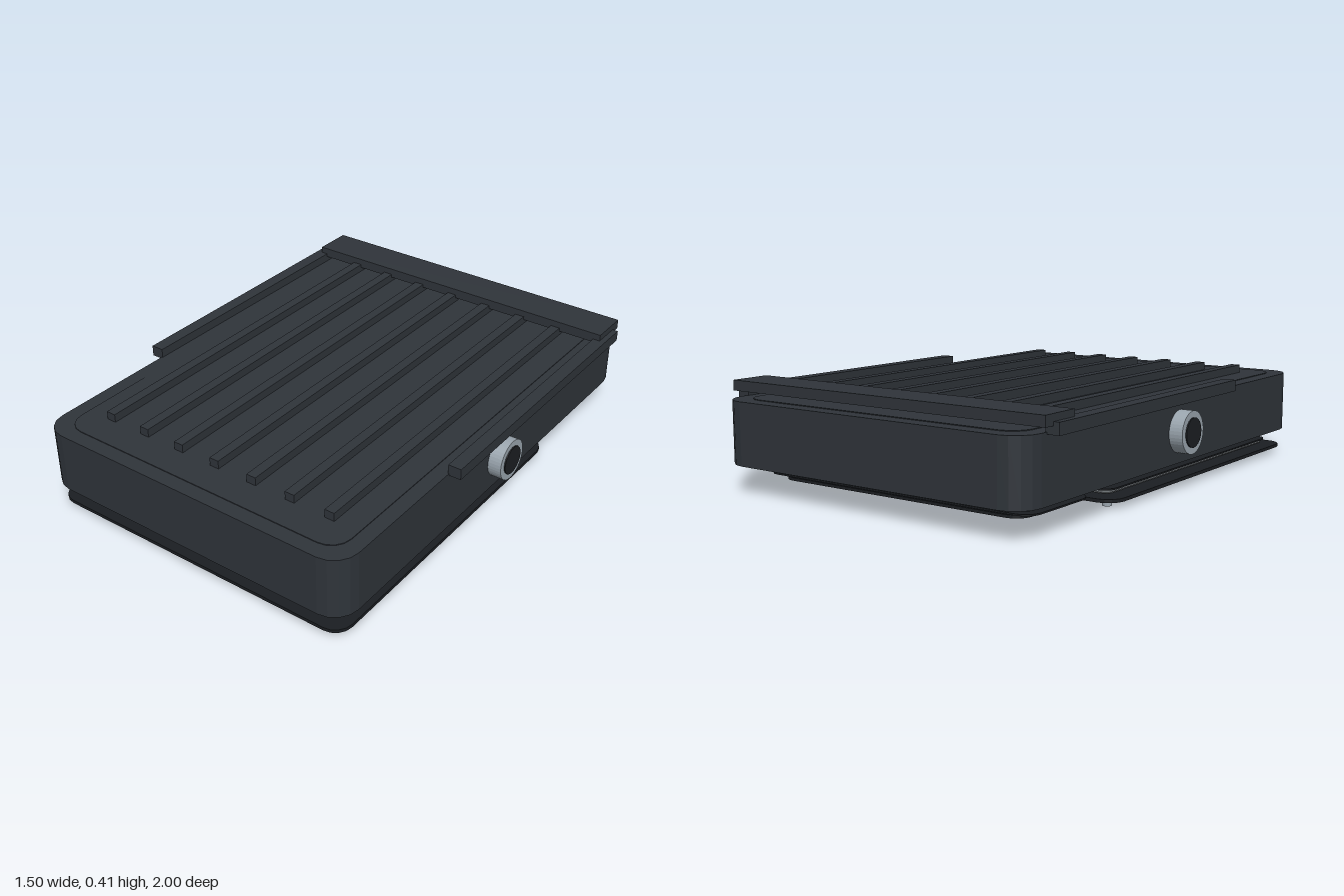
import * as THREE from 'three';

const mat = (color) => new THREE.MeshStandardMaterial({ color, flatShading: true });
const shellMat = mat(0x2f343a);
const darkMat = mat(0x1b1e22);
const glassMat = mat(0x676c6f);
const metalMat = mat(0x9aa5ae);

// Rounded rectangle outline, centred on (0, cy)
function outline(path, w, d, r, cy) {
  const x = w / 2 - r, y = d / 2 - r, q = Math.PI / 2;
  path.absarc(x, cy + y, r, 0, q);
  path.absarc(-x, cy + y, r, q, 2 * q);
  path.absarc(-x, cy - y, r, 2 * q, 3 * q);
  path.absarc(x, cy - y, r, 3 * q, 4 * q);
  path.closePath();
  return path;
}

export function createModel() {
  const group = new THREE.Group();

  const add = (name, geometry, material, x = 0, y = 0, z = 0) => {
    const mesh = new THREE.Mesh(geometry, material);
    mesh.name = name;
    mesh.position.set(x, y, z);
    group.add(mesh);
    return mesh;
  };

  // Box given by its limits
  const box = (name, material, x0, x1, y0, y1, z0, z1) =>
    add(name, new THREE.BoxGeometry(x1 - x0, y1 - y0, z1 - z0), material,
      (x0 + x1) / 2, (y0 + y1) / 2, (z0 + z1) / 2);

  // Horizontal rounded plate, optionally a frame with an opening
  const plate = (name, material, halfX, z0, z1, y0, y1, r, border = 0) => {
    const w = halfX * 2, d = z1 - z0, cy = -(z0 + z1) / 2;
    const shape = outline(new THREE.Shape(), w, d, r, cy);
    if (border) {
      shape.holes.push(outline(new THREE.Path(), w - 2 * border, d - 2 * border, r * 0.5, cy));
    }
    const geometry = new THREE.ExtrudeGeometry(shape, { depth: y1 - y0, bevelEnabled: false, curveSegments: 2 });
    geometry.rotateX(-Math.PI / 2);
    return add(name, geometry, material, 0, y0, 0);
  };

  // Housing and its top panel
  plate('housing', shellMat, 0.69, -1, 1, 0.106, 0.348, 0.1);
  plate('topPanel', shellMat, 0.63, -0.94, 0.94, 0.347, 0.351, 0.08);

  // Cooling ribs along the top
  for (let i = -3; i <= 3; i++) {
    box('rib', shellMat, i * 0.17 - 0.02, i * 0.17 + 0.02, 0.345, 0.384, -0.8, 0.82);
  }

  // Rear cross bar
  box('crossBar', shellMat, -0.715, 0.715, 0.37, 0.41, -0.915, -0.75);

  for (const s of [-1, 1]) {
    // Side rail
    const rail = [s * 0.685, s * 0.738].sort((a, b) => a - b);
    box('sideRail', shellMat, rail[0], rail[1], 0.34, 0.384, -0.87, 0.36);

    // Side pivot: metal ring with a dark core
    const ringShape = new THREE.Shape().absarc(0, 0, 0.082, 0, Math.PI * 2);
    ringShape.holes.push(new THREE.Path().absarc(0, 0, 0.056, 0, Math.PI * 2));
    const ring = new THREE.ExtrudeGeometry(ringShape, { depth: 0.06, bevelEnabled: false, curveSegments: 20 });
    ring.rotateY(s * Math.PI / 2);
    add('pivotRing', ring, metalMat, s * 0.685, 0.227, 0);
    const core = new THREE.CylinderGeometry(0.057, 0.057, 0.065, 20);
    core.rotateZ(Math.PI / 2);
    add('pivotCore', core, darkMat, s * 0.7175, 0.227, 0);
  }

  // Window assembly under the housing
  plate('windowFrame', darkMat, 0.67, -0.43, 0.98, 0.024, 0.037, 0.07, 0.085);
  plate('windowGlass', glassMat, 0.605, -0.365, 0.91, 0.042, 0.046, 0.03);
  plate('windowGasket', darkMat, 0.618, -0.38, 0.93, 0.055, 0.061, 0.05, 0.04);
  plate('backSheet', darkMat, 0.595, -0.35, 0.9, 0.098, 0.101, 0.03);
  for (const s of [-1, 1]) {
    box('lightBoard', darkMat, s * 0.297 - 0.285, s * 0.297 + 0.285, 0.086, 0.089, -0.32, 0.87);
  }

  // Small lights on the boards
  for (const x of [-0.47, -0.3, -0.13, 0.295, 0.465]) {
    for (const z of [-0.085, 0.275, 0.63]) {
      box('light', metalMat, x - 0.014, x + 0.014, 0.071, 0.077, z - 0.014, z + 0.014);
    }
  }

  // Corner screws of the window frame
  for (const x of [-0.598, 0.598]) {
    for (const z of [-0.36, 0.905]) {
      add('screw', new THREE.CylinderGeometry(0.018, 0.018, 0.012, 12), metalMat, x, 0.006, z);
    }
  }

  // Rear service cover with its gasket
  plate('coverGasket', darkMat, 0.615, -0.855, -0.48, 0.055, 0.061, 0.06, 0.04);
  plate('serviceCover', darkMat, 0.56, -0.832, -0.5, 0.035, 0.046, 0.06);

  return group;
}
